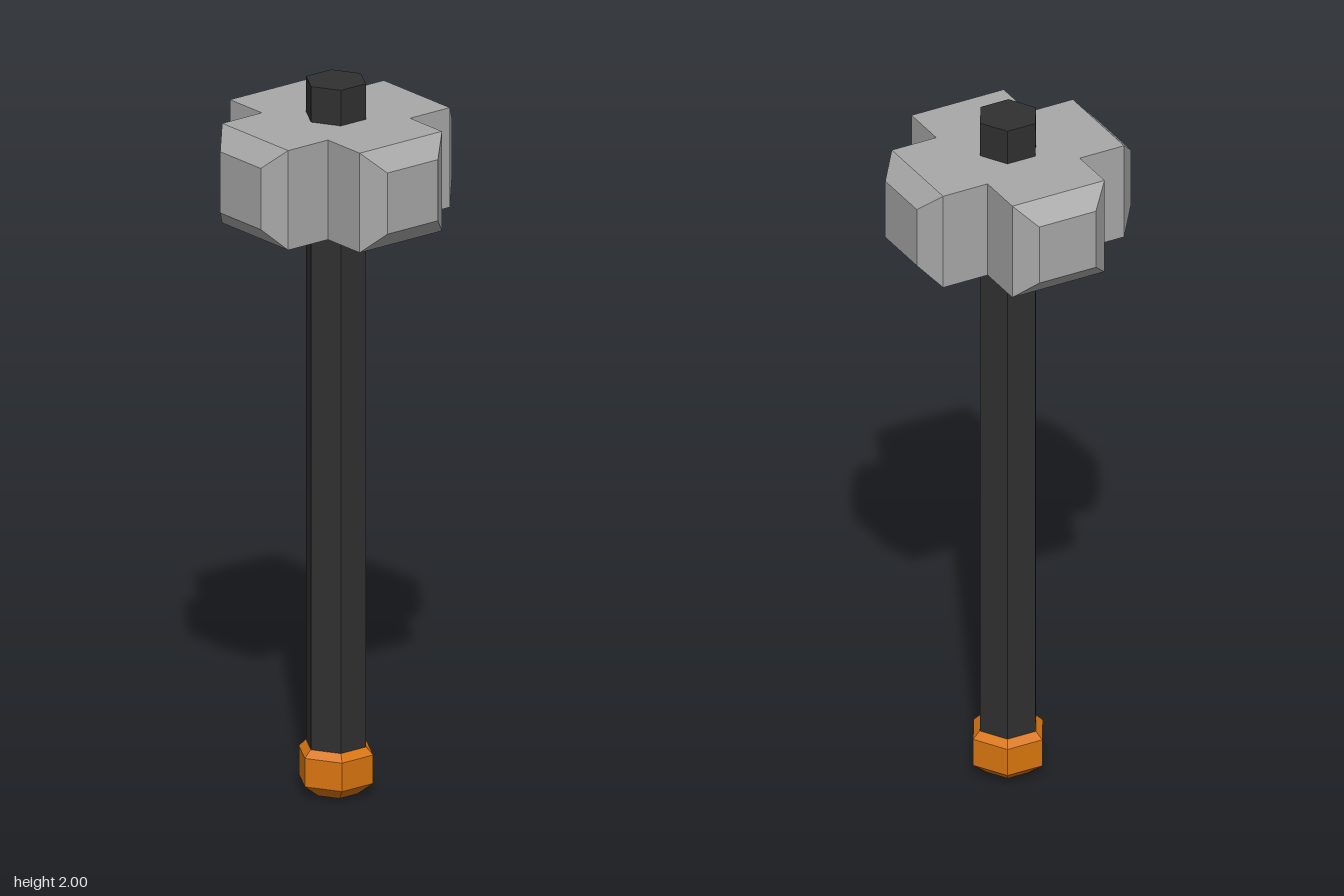
import * as THREE from 'three';

export function createModel() {
  const material = (name, color) => {
    const m = new THREE.MeshStandardMaterial({ color, flatShading: true });
    m.name = name;
    return m;
  };
  const steel = material('steelGrey', 0xa8a8a8);
  const grip = material('darkGrip', 0x303030);
  const orange = material('orangePommel', 0xdb760f);

  const model = new THREE.Group();
  model.name = 'hammer';
  const add = (name, geometry, mat, parent = model) => {
    const mesh = new THREE.Mesh(geometry, mat);
    mesh.name = name;
    parent.add(mesh);
    return mesh;
  };
  const lathe = (points, sides) =>
    new THREE.LatheGeometry(points.map(([r, y]) => new THREE.Vector2(r, y)), sides);

  // Hexagonal handle running through the head
  add('handle', new THREE.CylinderGeometry(0.085, 0.085, 1.9, 6), grip).position.y = 1.05;

  // Hexagonal pommel with chamfered ends
  add('pommel', lathe(
    [[0, 0], [0.061, 0], [0.106, 0.035], [0.106, 0.115], [0.086, 0.135], [0, 0.135]], 6), orange);

  // Cross-shaped head
  const half = 0.14, reach = 0.275, face = 0.086, bevel = 0.05;
  const head = new THREE.Group();
  head.name = 'head';
  head.position.y = 1.76;
  model.add(head);

  const cross = new THREE.Shape([
    [half, half], [half, reach], [-half, reach], [-half, half],
    [-reach, half], [-reach, -half], [-half, -half], [-half, -reach],
    [half, -reach], [half, -half], [reach, -half], [reach, half],
  ].map(([x, y]) => new THREE.Vector2(x, y)));
  const body = new THREE.ExtrudeGeometry(cross, { depth: 2 * half, bevelEnabled: false });
  body.translate(0, 0, -half).rotateX(-Math.PI / 2);
  add('headBody', body, steel, head);

  // Tapered striking face on each of the four arms
  const cap = lathe([[half * Math.SQRT2, 0], [face * Math.SQRT2, bevel], [0, bevel]], 4);
  cap.rotateY(Math.PI / 4).rotateX(Math.PI / 2).translate(0, 0, reach);
  ['front', 'left', 'back', 'right'].forEach((side, i) => {
    add(side + 'StrikingFace', cap, steel, head).rotation.y = i * Math.PI / 2;
  });

  return model;
}
